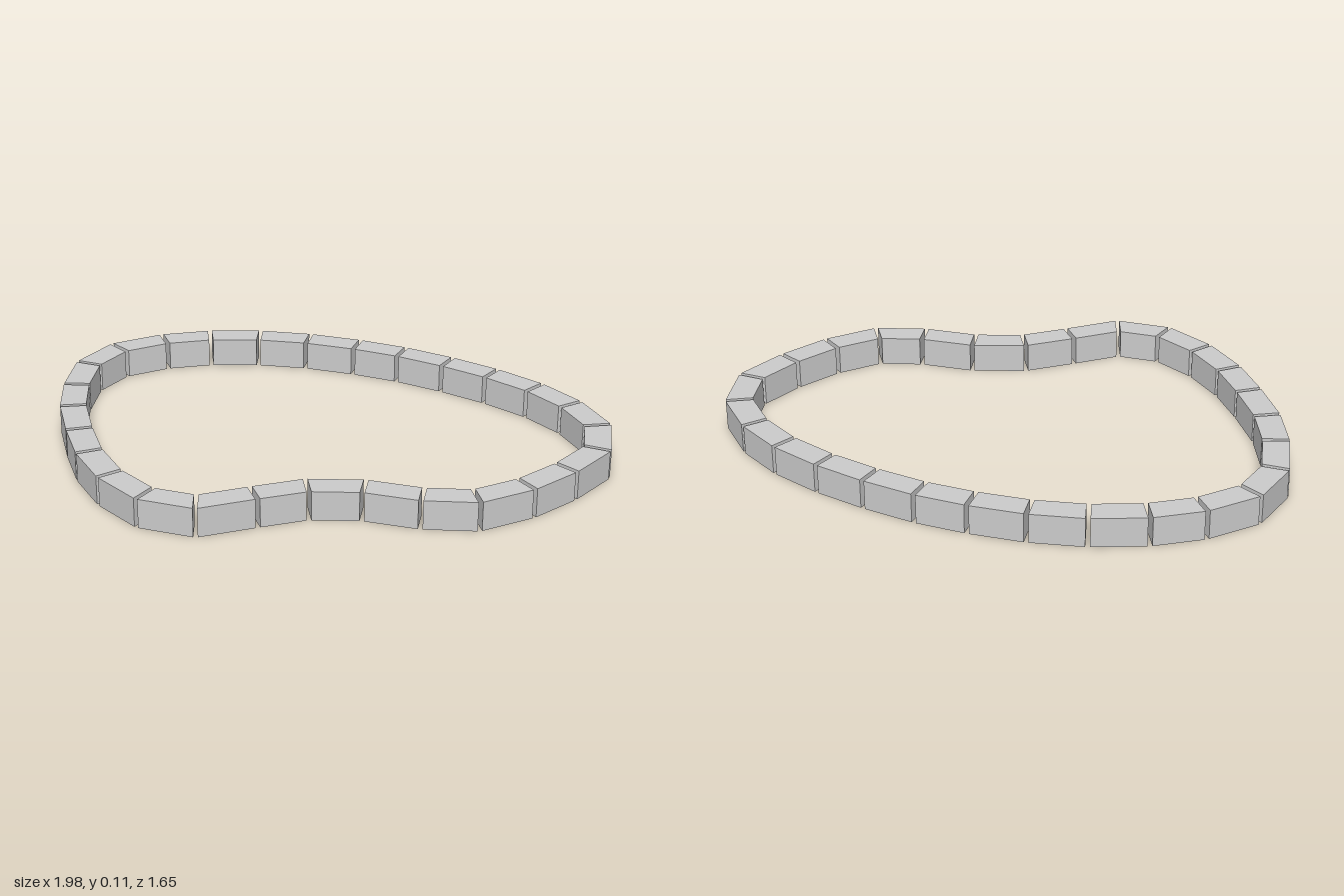
import * as THREE from 'three';

// Centre line of the band: the seams between neighbouring blocks, as [x, z]
const SEAMS = [
  [-0.946, -0.024], [-0.874, -0.2], [-0.765, -0.345], [-0.62, -0.473], [-0.455, -0.575],
  [-0.275, -0.655], [-0.1, -0.714], [0.09, -0.754], [0.28, -0.778], [0.476, -0.78],
  [0.66, -0.746], [0.832, -0.663], [0.938, -0.505], [0.941, -0.31], [0.912, -0.12],
  [0.84, 0.059], [0.698, 0.168], [0.516, 0.251], [0.369, 0.372], [0.273, 0.53],
  [0.174, 0.703], [0.005, 0.773], [-0.187, 0.749], [-0.366, 0.676], [-0.524, 0.575],
  [-0.684, 0.457], [-0.813, 0.321], [-0.922, 0.158],
];
const HALF_WIDTH = 0.047;
const HEIGHT = 0.107;
const HALF_GAP = 0.008;

export function createModel() {
  const group = new THREE.Group();
  group.name = 'blockBand';
  const material = new THREE.MeshStandardMaterial({ color: 0xcccccc, flatShading: true });

  // Shape plane uses y = -z so that the extrusion can be laid flat
  const points = SEAMS.map(([x, z]) => new THREE.Vector2(x, -z));
  const n = points.length;
  const at = (i) => points[(i + n) % n];
  const direction = (i) => at(i + 1).clone().sub(at(i)).normalize();

  // Mitre vector across the band at a seam
  const mitre = (i) => {
    const before = direction(i - 1);
    const bisector = before.clone().add(direction(i)).normalize();
    const across = new THREE.Vector2(-bisector.y, bisector.x);
    return across.multiplyScalar(HALF_WIDTH / bisector.dot(before));
  };

  // One block between each pair of seams, with mitred ends and a small gap
  for (let i = 0; i < n; i++) {
    const along = direction(i).multiplyScalar(HALF_GAP);
    const start = at(i).clone().add(along);
    const end = at(i + 1).clone().sub(along);
    const m0 = mitre(i);
    const m1 = mitre(i + 1);
    const outline = new THREE.Shape([
      start.clone().sub(m0), end.clone().sub(m1),
      end.clone().add(m1), start.clone().add(m0),
    ]);
    const geometry = new THREE.ExtrudeGeometry(outline, { depth: HEIGHT, bevelEnabled: false });
    geometry.rotateX(-Math.PI / 2);
    const block = new THREE.Mesh(geometry, material);
    block.name = `block${i + 1}`;
    group.add(block);
  }
  return group;
}
